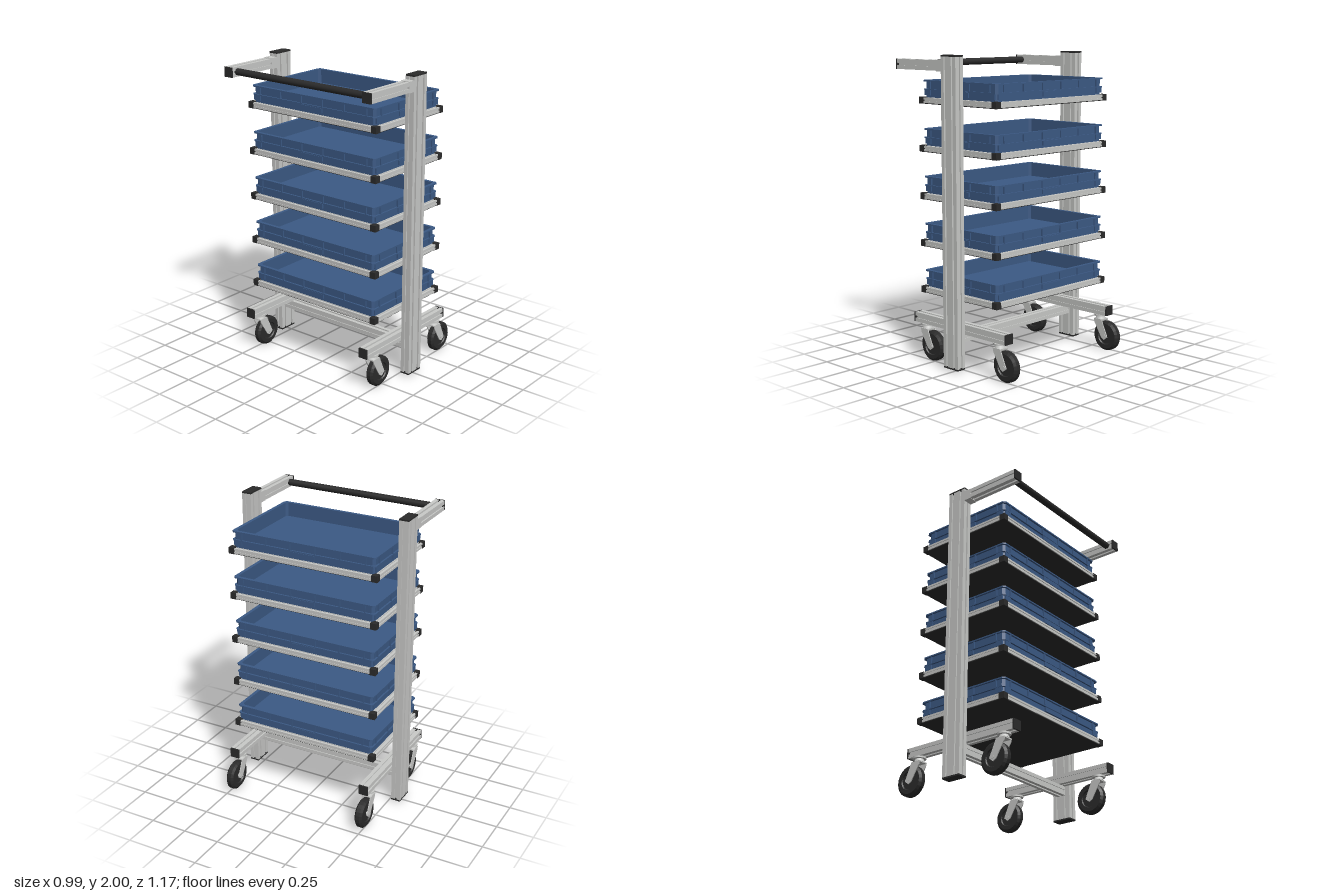
import * as THREE from 'three';

const mat = (name, color) => {
  const m = new THREE.MeshStandardMaterial({ color });
  m.name = name;
  return m;
};

export function createModel() {
  const root = new THREE.Group();
  root.name = 'trayTrolley';
  const aluminium = mat('aluminium', 0xc9cac8);
  const black = mat('blackPlastic', 0x2b2b2b);
  const blue = mat('blueTray', 0x3c5a85);
  const CX = -0.009; // centre line of posts and shelves

  const add = (parent, name, geo, material, x = 0, y = 0, z = 0) => {
    const m = new THREE.Mesh(geo, material);
    m.name = name;
    m.position.set(x, y, z);
    parent.add(m);
    return m;
  };
  const box = (parent, name, material, w, h, d, x, y, z) =>
    add(parent, name, new THREE.BoxGeometry(w, h, d), material, x, y, z);
  const group = (parent, name, x = 0, y = 0, z = 0) => {
    const g = new THREE.Group();
    g.name = name;
    g.position.set(x, y, z);
    parent.add(g);
    return g;
  };

  // Slotted section: T-slots cut into every side, nx and ny per side
  const slotShape = (w, h, nx, ny) => {
    const pts = [];
    const side = (ox, oy, dx, dy, len, n) => {
      const s = len / n;
      const put = (a, b) => pts.push(new THREE.Vector2(ox + dx * a - dy * b, oy + dy * a + dx * b));
      put(0, 0);
      for (let i = 0; i < n; i++) {
        const c = (i + 0.5) * s, o = s * 0.11, q = s * 0.2, lip = s * 0.08, d = s * 0.24;
        [[c - o, 0], [c - o, lip], [c - q, lip], [c - q, d], [c + q, d], [c + q, lip], [c + o, lip], [c + o, 0]]
          .forEach(([a, b]) => put(a, b));
      }
    };
    side(-w / 2, -h / 2, 1, 0, w, nx);
    side(w / 2, -h / 2, 0, 1, h, ny);
    side(w / 2, h / 2, -1, 0, w, nx);
    side(-w / 2, h / 2, 0, -1, h, ny);
    return new THREE.Shape(pts);
  };
  const bar = (parent, name, axis, w, h, nx, ny, len, x, y, z) => {
    const geo = new THREE.ExtrudeGeometry(slotShape(w, h, nx, ny), { depth: len, bevelEnabled: false });
    geo.translate(0, 0, -len / 2);
    if (axis === 'x') geo.rotateY(Math.PI / 2);
    if (axis === 'y') geo.rotateX(-Math.PI / 2);
    return add(parent, name, geo, aluminium, x, y, z);
  };

  // Chamfered rectangle, optionally hollow, extruded upwards from y
  const chamfered = (w, d, c) => new THREE.Shape([
    [-w / 2 + c, -d / 2], [w / 2 - c, -d / 2], [w / 2, -d / 2 + c], [w / 2, d / 2 - c],
    [w / 2 - c, d / 2], [-w / 2 + c, d / 2], [-w / 2, d / 2 - c], [-w / 2, -d / 2 + c],
  ].map(([x, y]) => new THREE.Vector2(x, y)));
  const slab = (parent, name, w, d, c, y, h, wall = 0) => {
    const shape = chamfered(w, d, c);
    if (wall) shape.holes.push(chamfered(w - 2 * wall, d - 2 * wall, c));
    const geo = new THREE.ExtrudeGeometry(shape, { depth: h, bevelEnabled: false });
    geo.rotateX(-Math.PI / 2);
    return add(parent, name, geo, blue, 0, y, 0);
  };

  // Uprights, push handle arms and base rails on both sides
  for (const s of [1, -1]) {
    const z = s * 0.552;
    bar(root, 'post', 'y', 0.13, 0.064, 2, 1, 1.96, CX, 1.01, z);
    for (const y of [0.025, 1.995]) box(root, 'postCap', black, 0.13, 0.01, 0.064, CX, y, z);
    bar(root, 'handleArm', 'x', 0.064, 0.064, 1, 1, 0.41, -0.279, 1.934, z);
    box(root, 'handleArmCap', black, 0.01, 0.064, 0.064, -0.489, 1.934, z);
    box(root, 'handleBracket', aluminium, 0.05, 0.07, 0.064, -0.098, 1.934, z);
    bar(root, 'baseRail', 'x', 0.064, 0.064, 1, 1, 0.82, CX, 0.278, s * 0.484);
    for (const e of [1, -1])
      box(root, 'baseRailCap', black, 0.01, 0.064, 0.064, CX + e * 0.415, 0.278, s * 0.484);
  }
  bar(root, 'crossBar', 'z', 0.064, 0.06, 1, 1, 1.04, CX, 0.216, 0);
  const grip = new THREE.CylinderGeometry(0.022, 0.022, 1.05, 24);
  grip.rotateX(Math.PI / 2);
  add(root, 'handleBar', grip, black, -0.442, 1.934, 0);

  // Swivel casters, all trailing the same way
  const wheelGeo = new THREE.LatheGeometry([
    [0, -0.018], [0.055, -0.018], [0.06, -0.026], [0.085, -0.026], [0.1, -0.014],
    [0.1, 0.014], [0.085, 0.026], [0.06, 0.026], [0.055, 0.018], [0, 0.018],
  ].map(([r, y]) => new THREE.Vector2(r, y)), 24).toNonIndexed();
  wheelGeo.computeVertexNormals();
  wheelGeo.rotateX(Math.PI / 2);
  const axleGeo = new THREE.CylinderGeometry(0.012, 0.012, 0.072, 12);
  axleGeo.rotateX(Math.PI / 2);
  const cheekGeo = new THREE.ExtrudeGeometry(new THREE.Shape([
    [-0.03, 0.215], [-0.025, 0.19], [0.035, 0.09], [0.058, 0.078], [0.085, 0.1], [0.04, 0.2], [0.035, 0.215],
  ].map(([x, y]) => new THREE.Vector2(x, y))), { depth: 0.006, bevelEnabled: false });
  for (const x of [-0.333, 0.333]) for (const z of [-0.486, 0.486]) {
    const caster = group(root, 'caster', x, 0, z);
    add(caster, 'mountingPlate', new THREE.CylinderGeometry(0.042, 0.042, 0.012, 20), aluminium, 0, 0.24, 0);
    add(caster, 'swivel', new THREE.CylinderGeometry(0.026, 0.034, 0.02, 20), aluminium, 0, 0.224, 0);
    box(caster, 'forkCrown', aluminium, 0.065, 0.008, 0.068, 0.0025, 0.211, 0);
    add(caster, 'forkCheek', cheekGeo, aluminium, 0, 0, 0.028);
    add(caster, 'forkCheek', cheekGeo, aluminium, 0, 0, -0.034);
    add(caster, 'wheel', wheelGeo, black, 0.06, 0.104, 0);
    add(caster, 'axle', axleGeo, aluminium, 0.06, 0.104, 0);
  }

  // Five shelves, each a slotted frame carrying a shallow tray
  const W = 0.69, D = 1.034, F = 0.04;
  for (let i = 0; i < 5; i++) {
    const shelf = group(root, 'shelf', CX, 0.456 + i * 0.3075, 0);
    box(shelf, 'shelfPlate', black, W - 0.012, 0.006, D - 0.012, 0, 0.003, 0);
    for (const s of [1, -1]) {
      bar(shelf, 'frameSide', 'z', 0.036, 0.034, 1, 1, D - 2 * F, s * (W / 2 - 0.019), 0.022, 0);
      bar(shelf, 'frameEnd', 'x', 0.036, 0.034, 1, 1, W - 2 * F, 0, 0.022, s * (D / 2 - 0.019));
      for (const t of [1, -1])
        box(shelf, 'frameCorner', black, F, 0.042, F, s * (W - F) / 2, 0.021, t * (D - F) / 2);
    }

    const tray = group(shelf, 'tray', 0, 0.04, 0);
    const w = 0.666, d = 1.0;
    slab(tray, 'trayFloor', w - 0.024, d - 0.024, 0.015, 0, 0.016);
    slab(tray, 'trayWall', w - 0.024, d - 0.024, 0.015, 0.016, 0.086, 0.01);
    slab(tray, 'trayRim', w, d, 0.015, 0.1, 0.009, 0.022);
    slab(tray, 'trayBand', w - 0.002, d - 0.002, 0.015, 0.047, 0.007, 0.018);
    for (const s of [1, -1]) {
      // Stiffening ribs between band and rim
      for (const z of [-0.43, -0.258, -0.086, 0.086, 0.258, 0.43])
        box(tray, 'sideRib', blue, 0.012, 0.048, 0.008, s * (w / 2 - 0.008), 0.077, z);
      for (const x of [-0.265, -0.09, 0.09, 0.265])
        box(tray, 'endRib', blue, 0.008, 0.048, 0.012, x, 0.077, s * (d / 2 - 0.008));
      // Hand grips and corner blocks below the band
      box(tray, 'sideGrip', blue, 0.012, 0.03, 0.17, s * (w / 2 - 0.008), 0.03, 0);
      box(tray, 'endGrip', blue, 0.17, 0.03, 0.012, 0, 0.03, s * (d / 2 - 0.008));
      for (const t of [1, -1]) {
        box(tray, 'cornerBlock', blue, 0.01, 0.034, 0.05, s * (w / 2 - 0.008), 0.03, t * (d / 2 - 0.045));
        box(tray, 'cornerBlock', blue, 0.05, 0.034, 0.01, s * (w / 2 - 0.045), 0.03, t * (d / 2 - 0.008));
      }
    }
  }
  return root;
}
